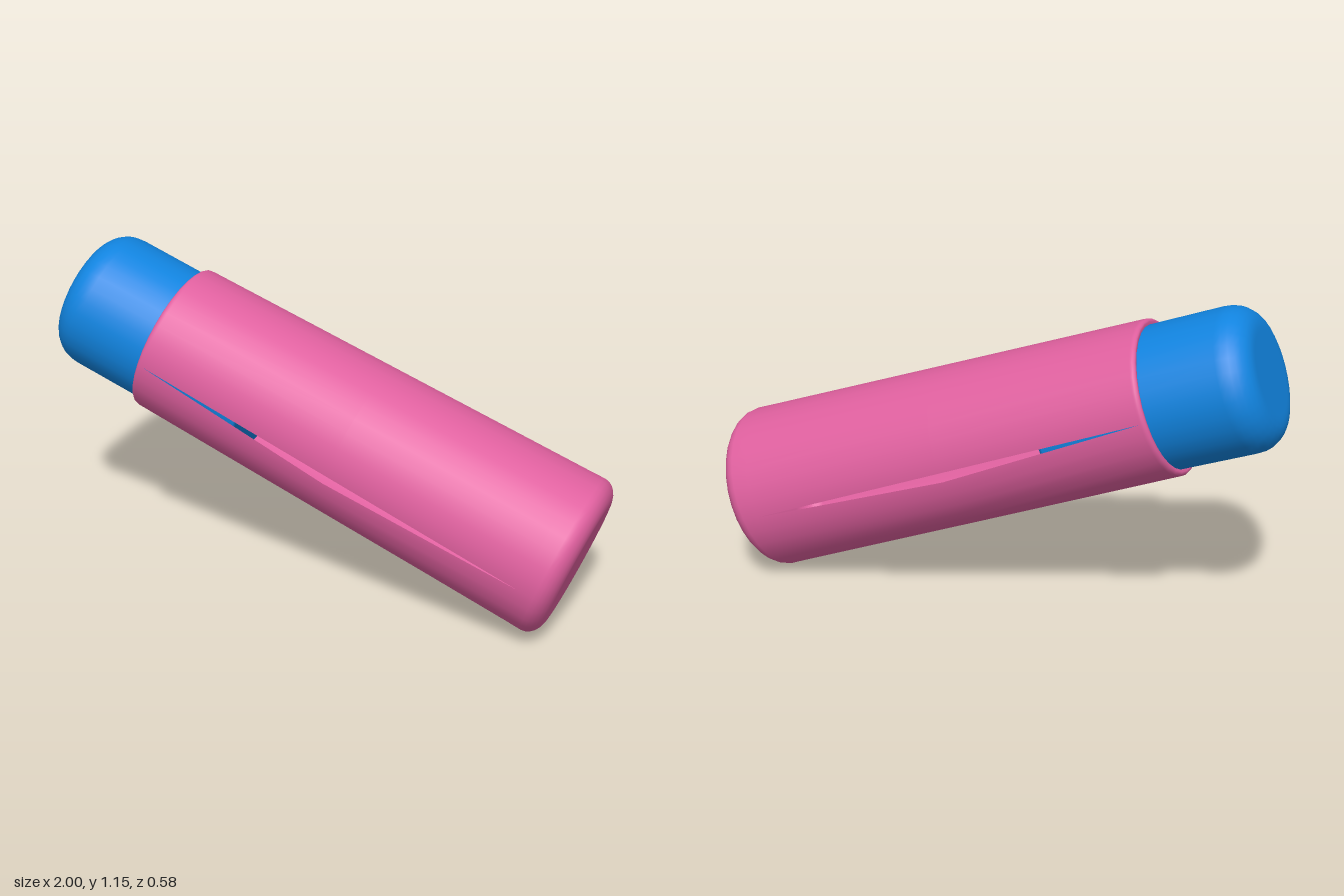
import * as THREE from 'three';

const pink = new THREE.MeshStandardMaterial({ color: 0xe0609f, side: THREE.DoubleSide });
pink.name = 'pink';
const blue = new THREE.MeshStandardMaterial({ color: 0x1184e0 });
blue.name = 'blue';

// Quarter-ellipse of profile points around (cx, cy)
function corner(cx, cy, rx, ry, from, to, steps) {
  return Array.from({ length: steps + 1 }, (_, i) => {
    const a = from + (to - from) * i / steps;
    return new THREE.Vector2(cx + rx * Math.cos(a), cy + ry * Math.sin(a));
  });
}

// Swings the seams of a half shell up or down by an angle that depends on height
function bendSeams(geometry, angleAt) {
  const pos = geometry.attributes.position, nor = geometry.attributes.normal;
  const up = new THREE.Vector3(0, 1, 0), v = new THREE.Vector3();
  for (let i = 0; i < pos.count; i++) {
    const phi = Math.atan2(pos.getX(i), pos.getZ(i));
    const turn = angleAt(pos.getY(i)) * Math.cos(phi);
    for (const attr of [pos, nor]) {
      v.fromBufferAttribute(attr, i).applyAxisAngle(up, turn);
      attr.setXYZ(i, v.x, v.y, v.z);
    }
  }
  return geometry;
}

// Piecewise seam angle: closed-end tip, middle, open-end tip of the slit
const TIP_LOW = -0.653, MID = 0.086, TIP_HIGH = 0.829;
function seamAngle(middle) {
  return (y) => {
    if (y <= MID) return THREE.MathUtils.mapLinear(Math.max(y, TIP_LOW), TIP_LOW, MID, -0.072, middle);
    return THREE.MathUtils.mapLinear(Math.min(y, TIP_HIGH), MID, TIP_HIGH, middle, 0.007);
  };
}

export function createModel() {
  const model = new THREE.Group();
  model.name = 'tube';

  // Everything is turned around local y, which is then tilted
  const tilted = new THREE.Group();
  tilted.name = 'tiltedTube';
  tilted.rotation.z = THREE.MathUtils.degToRad(69.7);
  tilted.position.set(0.198, 0.536, 0);
  model.add(tilted);

  // Sleeve: tapered, rounded closed end, small rolled lip at the open end
  const sleeveProfile = [
    new THREE.Vector2(0, -0.77),
    new THREE.Vector2(0.2, -0.77),
    ...corner(0.215, -0.71, 0.077, 0.06, -Math.PI / 2, 0, 6),
    new THREE.Vector2(0.2905, TIP_LOW),
    new THREE.Vector2(0.279, MID),
    new THREE.Vector2(0.268, TIP_HIGH),
    ...corner(0.255, 0.833, 0.013, 0.015, 0, Math.PI / 2, 4),
    new THREE.Vector2(0.246, 0.845),
  ];
  // Two half shells whose seams part in the middle, leaving a long thin slit on each side
  const halves = [['upperSleeve', 0, -0.035], ['lowerSleeve', Math.PI, -0.157]];
  for (const [name, start, middle] of halves) {
    const half = new THREE.LatheGeometry(sleeveProfile, 16, start, Math.PI);
    const mesh = new THREE.Mesh(bendSeams(half, seamAngle(middle)), pink);
    mesh.name = name;
    tilted.add(mesh);
  }

  // Plug: rounded cylinder reaching part of the way into the sleeve
  const plugProfile = [
    new THREE.Vector2(0, 0.45),
    new THREE.Vector2(0.243, 0.45),
    new THREE.Vector2(0.246, 0.46),
    new THREE.Vector2(0.246, 0.85),
    ...corner(0.156, 1.11, 0.09, 0.1, 0, Math.PI / 2, 7),
    new THREE.Vector2(0.14, 1.21),
    new THREE.Vector2(0, 1.21),
  ];
  const plug = new THREE.Mesh(new THREE.LatheGeometry(plugProfile, 32), blue);
  plug.name = 'plug';
  tilted.add(plug);

  return model;
}
